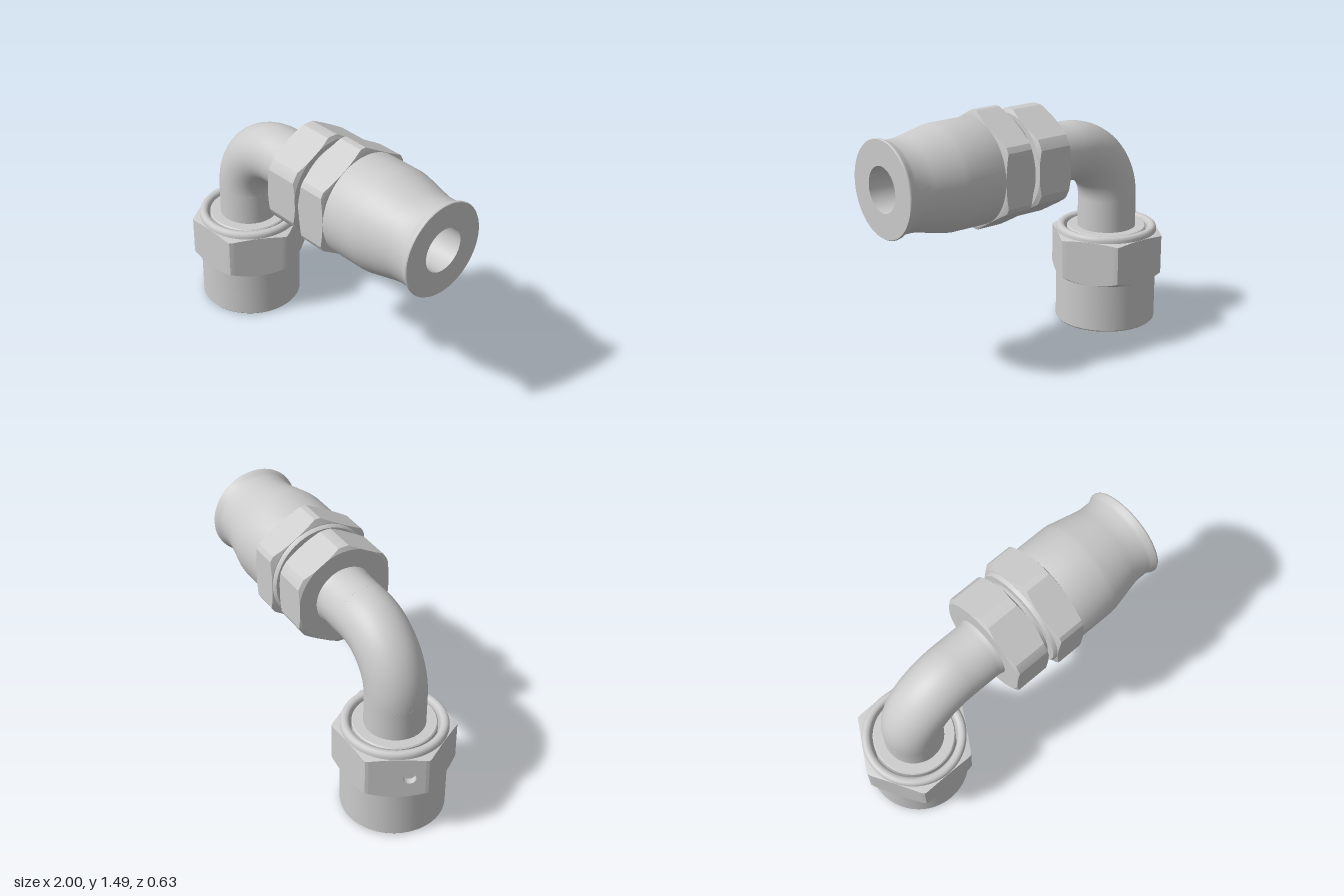
import * as THREE from 'three';
import { toCreasedNormals } from 'three/addons/utils/BufferGeometryUtils.js';

const grey = new THREE.MeshStandardMaterial({ color: 0xcccccc });
const inside = new THREE.MeshStandardMaterial({ color: 0xcccccc, side: THREE.BackSide });

const AXIS_X = -0.64;   // axis of the upright leg
const AXIS_Y = 1.137;   // axis of the horizontal leg
const BEND = 0.34, TUBE = 0.18, BORE = 0.133;

function part(parent, name, geometry, material = grey) {
  const mesh = new THREE.Mesh(geometry, material);
  mesh.name = name;
  parent.add(mesh);
  return mesh;
}

// Closed turned profile: outer side going up, then inner side going down
function turned(points) {
  const profile = [...points, points[0]].map(([r, y]) => new THREE.Vector2(r, y));
  return toCreasedNormals(new THREE.LatheGeometry(profile, 72), 0.7);
}

const SEGMENTS = 120, STEP = (Math.PI * 2) / SEGMENTS;

// Hexagon radius at an angle (corners at 0, 60, ... degrees), corners clipped to a circle
function hexRadius(angle, flat, clip) {
  const sector = Math.PI / 3;
  const a = ((angle % sector) + sector) % sector - sector / 2;
  return Math.min(flat / Math.cos(a), clip);
}

// Hex ring along y; each end is cut by a cone starting at radius cone0 / cone1
function hexRing({ flat, clip, inner, y0, y1, cone0, cone1, slope0, slope1, skip }) {
  const rings = [[], [], [], [], [], []];
  for (let j = 0; j <= SEGMENTS; j++) {
    const t = (j % SEGMENTS) * STEP, h = hexRadius(t, flat, clip);
    const low = y0 + Math.max(0, h - cone0) * slope0;
    const high = y1 - Math.max(0, h - cone1) * slope1;
    [[inner, y0], [Math.min(h, cone0), y0], [h, low], [h, high], [Math.min(h, cone1), y1], [inner, y1]]
      .forEach(([r, y], i) => rings[i].push([r * Math.cos(t), y, r * Math.sin(t)]));
  }
  const positions = [];
  for (let i = 0; i < 5; i++) {
    for (let j = 0; j < SEGMENTS; j++) {
      if (skip && i === 2 && j >= skip[0] && j < skip[1]) continue;
      const a = rings[i][j], b = rings[i + 1][j], c = rings[i][j + 1], d = rings[i + 1][j + 1];
      positions.push(...a, ...b, ...c, ...b, ...d, ...c);
    }
  }
  const geometry = new THREE.BufferGeometry();
  geometry.setAttribute('position', new THREE.Float32BufferAttribute(positions, 3));
  return { geometry: toCreasedNormals(geometry, 0.4), rings };
}

// Flat of the swivel nut with a small blind hole, filling the skipped part of the ring
function drilledFlat(parent, rings, flat, [from, to]) {
  const angle = ((from + to) / 2) * STEP;
  const normal = new THREE.Vector3(Math.cos(angle), 0, Math.sin(angle));
  const across = new THREE.Vector3(Math.sin(angle), 0, -Math.cos(angle));
  const flatten = ([x, y, z]) => new THREE.Vector2(x * across.x + z * across.z, y);
  const outline = [
    ...rings[2].slice(from, to + 1).map(flatten),
    ...rings[3].slice(from, to + 1).reverse().map(flatten),
  ];
  const shape = new THREE.Shape(outline);
  const u = 0.07, v = 0.44, radius = 0.038, depth = 0.04;
  shape.holes.push(new THREE.Path().absarc(u, v, radius, 0, Math.PI * 2, true));

  const face = new THREE.Group();
  face.name = 'drilledFlat';
  face.matrix.makeBasis(across, new THREE.Vector3(0, 1, 0), normal);
  face.matrix.setPosition(normal.clone().multiplyScalar(flat));
  face.matrix.decompose(face.position, face.quaternion, face.scale);
  part(face, 'flatPlate', new THREE.ShapeGeometry(shape, 16));
  const pocket = new THREE.CylinderGeometry(radius, radius, depth, 32).rotateX(Math.PI / 2);
  part(face, 'wireHole', pocket, inside).position.set(u, v, -depth / 2);
  parent.add(face);
}

function swivelEnd() {
  const group = new THREE.Group();
  group.name = 'swivelEnd';
  group.position.x = AXIS_X;

  // Round body of the nut with an open bore and a rolled upper lip
  part(group, 'swivelNutBody', turned([
    [0.296, 0], [0.306, 0], [0.313, 0.008], [0.313, 0.31], [0.27, 0.31], [0.27, 0.57],
    [0.313, 0.57], [0.313, 0.592], [0.309, 0.606], [0.299, 0.615], [0.285, 0.617],
    [0.27, 0.613], [0.262, 0.604], [0.258, 0.59], [0.258, 0.03],
  ]));

  const flat = 0.315, skip = [61, 79];
  const hex = hexRing({
    flat, clip: 0.36, inner: 0.268, y0: 0.3, y1: 0.578,
    cone0: 0.315, cone1: 0.315, slope0: 0.65, slope1: 0.22, skip,
  });
  part(group, 'swivelNutHex', hex.geometry);
  drilledFlat(group, hex.rings, flat, skip);

  // Nipple with a conical seat, carrying the upright leg of the tube
  part(group, 'nipple', turned([
    [BORE, 0.3], [0.19, 0.3], [0.247, 0.37], [0.247, 0.598], [0.24, 0.605],
    [TUBE, 0.605], [TUBE, AXIS_Y - BEND], [BORE, AXIS_Y - BEND],
  ]));
  return group;
}

function hoseEnd() {
  // Built along y, then laid over so that y becomes x
  const group = new THREE.Group();
  group.name = 'hoseEnd';
  group.position.y = AXIS_Y;
  group.rotation.z = -Math.PI / 2;
  const start = AXIS_X + BEND;

  part(group, 'horizontalLeg', turned([
    [BORE, start], [TUBE, start], [TUBE, -0.125], [0.183, -0.105], [0.19, -0.085],
    [0.19, 0.12], [BORE, 0.12],
  ]));
  part(group, 'innerHex', hexRing({
    flat: 0.297, clip: 0.325, inner: 0.17, y0: -0.092, y1: 0.14,
    cone0: 0.3, cone1: 0.3, slope0: 0.55, slope1: 0.55,
  }).geometry);
  part(group, 'socket', turned([
    [BORE, 0.12], [0.253, 0.12], [0.253, 0.172], [0.3, 0.172], [0.313, 0.19], [0.313, 0.62],
    [0.309, 0.655], [0.27, 0.83], [0.264, 0.87], [0.264, 0.94], [0.269, 0.96],
    [0.283, 0.985], [0.284, 0.994], [0.28, 1], [BORE, 1],
  ]));
  part(group, 'socketHex', hexRing({
    flat: 0.315, clip: 0.353, inner: 0.29, y0: 0.195, y1: 0.39,
    cone0: 0.316, cone1: 0.316, slope0: 0.45, slope1: 0.4,
  }).geometry);
  return group;
}

export function createModel() {
  const model = new THREE.Group();
  model.name = 'elbowHoseFitting';
  model.add(swivelEnd(), hoseEnd());

  // Quarter bend, outside and bore
  for (const [name, radius, material] of [['bend', TUBE, grey], ['bendBore', BORE, inside]]) {
    const bend = part(model, name, new THREE.TorusGeometry(BEND, radius, 48, 40, Math.PI / 2), material);
    bend.position.set(AXIS_X + BEND, AXIS_Y - BEND, 0);
    bend.rotation.z = Math.PI / 2;
  }
  return model;
}
